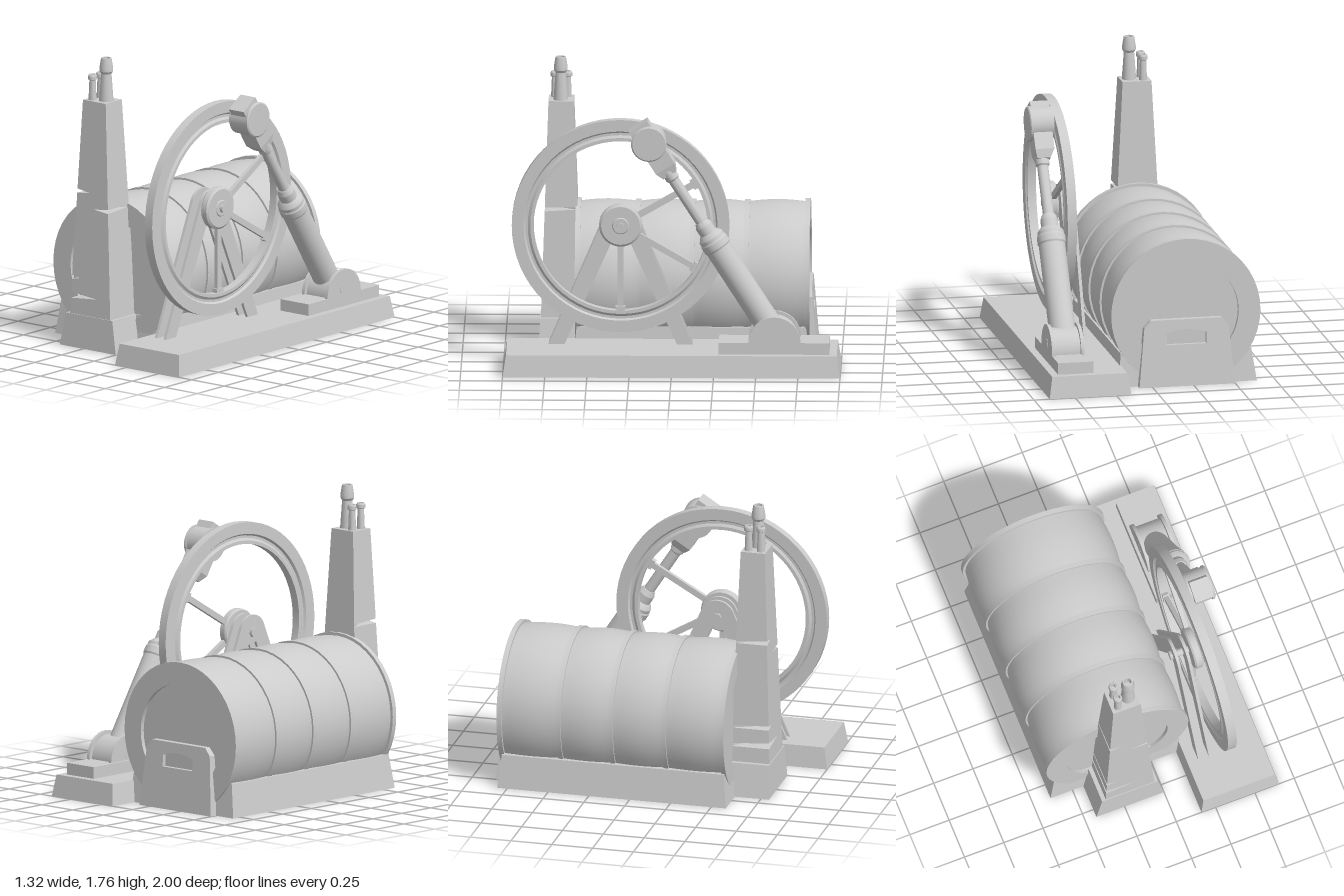
import * as THREE from 'three';
import { toCreasedNormals } from 'three/addons/utils/BufferGeometryUtils.js';

const material = new THREE.MeshStandardMaterial({ color: 0xcccccc });

function add(parent, name, geometry, x = 0, y = 0, z = 0) {
  const mesh = new THREE.Mesh(geometry, material);
  mesh.name = name;
  mesh.position.set(x, y, z);
  parent.add(mesh);
  return mesh;
}

// Solid of revolution from [radius, height] pairs
function lathe(points, sides = 32) {
  const g = new THREE.LatheGeometry(points.map(p => new THREE.Vector2(...p)), sides);
  return toCreasedNormals(g, 0.4);
}

// Cylinder lying along x
const drum = (r, length, sides = 32) =>
  new THREE.CylinderGeometry(r, r, length, sides).rotateZ(-Math.PI / 2);

// Moves every vertex by a rule and recomputes flat normals
function reshape(geometry, rule) {
  const g = geometry.index ? geometry.toNonIndexed() : geometry;
  const p = g.attributes.position, v = new THREE.Vector3();
  for (let i = 0; i < p.count; i++) {
    rule(v.fromBufferAttribute(p, i));
    p.setXYZ(i, v.x, v.y, v.z);
  }
  g.computeVertexNormals();
  return g;
}

// Block with different bottom and top rectangles [x0, x1, z0, z1]
function taperedBlock(bottom, top, y0, y1) {
  return reshape(new THREE.BoxGeometry(1, 1, 1), v => {
    const r = v.y > 0 ? top : bottom;
    v.set(v.x < 0 ? r[0] : r[1], v.y > 0 ? y1 : y0, v.z < 0 ? r[2] : r[3]);
  });
}

const shapeOf = points => new THREE.Shape(points.map(p => new THREE.Vector2(...p)));
const extrude = (shape, depth) =>
  new THREE.ExtrudeGeometry(shape, { depth, bevelEnabled: false, curveSegments: 16 });

function buildBase(model) {
  add(model, 'machinePlate', taperedBlock([0.16, 0.655, -1, 1], [0.18, 0.635, -0.98, 0.98], 0, 0.13));
  add(model, 'boilerCradle', taperedBlock([-0.64, 0.2, -0.81, 0.59], [-0.61, 0.18, -0.79, 0.57], 0, 0.2));
  add(model, 'chimneyFoot', taperedBlock([-0.43, 0, 0.5, 0.8], [-0.39, -0.035, 0.5, 0.79], 0, 0.2));
  add(model, 'pistonFootBlock', taperedBlock([0.375, 0.59, -0.935, -0.28], [0.375, 0.59, -0.935, -0.28], 0.1, 0.2));
}

function buildBoiler(model) {
  const bands = [-0.795, -0.435, -0.115, 0.21, 0.565], w = 0.015;
  const profile = [[0, -0.785], [0.32, -0.785], [0.32, -0.81]];
  bands.forEach((z, i) => {
    const end = i === 0 || i === bands.length - 1;
    const r = end ? 0.452 : 0.446;
    profile.push([r, z - w], [r, z + w]);
    // Swelling shell between two bands
    if (i < bands.length - 1) {
      const a = z + w, b = bands[i + 1] - w;
      for (let k = 0; k <= 8; k++)
        profile.push([0.434 + 0.012 * Math.sin(Math.PI * k / 8), a + (b - a) * k / 8]);
    }
  });
  profile.push([0.32, 0.58], [0.32, 0.56], [0, 0.56]);
  const g = lathe(profile, 44).rotateX(Math.PI / 2);
  // Flatten the underside hidden in the cradle
  const p = g.attributes.position;
  for (let i = 0; i < p.count; i++) p.setY(i, Math.max(p.getY(i), -0.41));
  add(model, 'boiler', g, -0.21, 0.435, 0);

  // Firebox door with an arched slot
  const door = shapeOf([[-0.5, 0], [0.08, 0], [0.045, 0.355], [0.005, 0.4], [-0.425, 0.4], [-0.465, 0.355]]);
  const slot = new THREE.Path();
  slot.moveTo(-0.33, 0.25);
  slot.lineTo(-0.33, 0.32);
  slot.quadraticCurveTo(-0.21, 0.36, -0.09, 0.32);
  slot.lineTo(-0.09, 0.25);
  slot.closePath();
  door.holes.push(slot);
  add(model, 'fireboxDoor', reshape(extrude(door, 1), v => {
    v.z = v.z > 0.5 ? -0.77 : -0.855 + v.y * 0.08;
  }));
  add(model, 'doorSlotBack', new THREE.BoxGeometry(0.28, 0.14, 0.03), -0.21, 0.3, -0.795);
}

function buildChimney(model) {
  const mix = (a, b) => y => a + (b - a) * (y - 0.2) / 1.3;
  const left = mix(-0.365, -0.3), right = mix(-0.055, -0.125);
  const front = mix(0.785, 0.742), back = mix(0.545, 0.592);
  const notch = (edge, y, h, d) => [[edge(y - h), y - h], [edge(y) + d, y], [edge(y + h), y + h]];
  const outline = [
    [left(0.2), 0.2], [right(0.2), 0.2],
    ...notch(right, 0.85, 0.012, -0.11),
    [right(1.5), 1.5], [left(1.5), 1.5],
    ...notch(left, 0.945, 0.013, 0.09).reverse(),
    ...notch(left, 0.42, 0.013, 0.06).reverse(),
    ...notch(left, 0.31, 0.018, 0.2).reverse(),
  ];
  // Cracks are deep on the front and run out towards the back
  add(model, 'chimney', reshape(extrude(shapeOf(outline), 1), v => {
    const isFront = v.z > 0.5;
    if (!isFront) v.x = v.x < -0.21 || (v.y < 0.5 && v.x < -0.1) ? left(v.y) : right(v.y);
    if (!isFront && Math.abs(v.y - 0.85) < 0.02) v.x = right(v.y);
    v.z = isFront ? front(v.y) : back(v.y);
  }));
  const pipe = [[0.043, 0], [0.031, 0.165], [0.041, 0.18], [0.041, 0.2], [0.031, 0.26], [0.022, 0.26], [0.02, 0.2], [0, 0.2]];
  const smallPipe = [[0.024, 0], [0.019, 0.12], [0.027, 0.125], [0.027, 0.145], [0.022, 0.155], [0.015, 0.155], [0.014, 0.12], [0, 0.12]];
  add(model, 'tallPipe', lathe(pipe, 20), -0.18, 1.5, 0.67);
  for (const z of [0.63, 0.705]) add(model, 'shortPipe', lathe(smallPipe, 16), -0.257, 1.5, z);
}

function buildFlywheel(model) {
  const wheel = new THREE.Group();
  wheel.name = 'flywheel';
  wheel.position.set(0.377, 0.865, 0.305);
  model.add(wheel);
  const rim = [[0.645, -0.028], [0.645, 0.028], [0.575, 0.028], [0.565, 0.015], [0.55, 0.015], [0.535, 0.026], [0.515, 0.026],
    [0.515, -0.026], [0.535, -0.026], [0.55, -0.015], [0.565, -0.015], [0.575, -0.028], [0.645, -0.028]];
  add(wheel, 'rim', lathe(rim, 64).rotateZ(-Math.PI / 2));
  const hub = [[0, -0.03], [0.12, -0.03], [0.128, -0.02], [0.128, 0.015], [0.115, 0.025], [0.05, 0.025], [0.045, 0.03], [0, 0.03]];
  add(wheel, 'hub', lathe(hub, 32).rotateZ(-Math.PI / 2));
  add(wheel, 'hubNut', drum(0.024, 0.03, 6), 0.035);
  // Surviving spokes, each with an end pad
  for (const angle of [-Math.PI / 3, -2 * Math.PI / 3, Math.PI]) {
    const spoke = new THREE.Group();
    spoke.name = 'spoke';
    spoke.rotation.x = angle;
    add(spoke, 'spokeBar', new THREE.BoxGeometry(0.026, 0.45, 0.036), 0, 0.3, 0);
    add(spoke, 'spokePad', new THREE.BoxGeometry(0.036, 0.03, 0.06), 0, 0.505, 0);
    wheel.add(spoke);
  }

  // Pair of A-shaped stands; the profile runs along -z and y
  const stand = new THREE.Shape();
  stand.moveTo(-0.43, -0.74);
  stand.lineTo(-0.335, -0.74);
  stand.lineTo(-0.03, -0.06);
  stand.lineTo(0.03, -0.06);
  stand.lineTo(0.335, -0.74);
  stand.lineTo(0.43, -0.74);
  stand.lineTo(0.097, 0.04);
  stand.absarc(0, 0, 0.105, 0.39, Math.PI - 0.39, false);
  stand.closePath();
  for (const x of [0.245, 0.312])
    add(model, 'wheelStand', extrude(stand, 0.018).rotateY(Math.PI / 2), x, 0.865, 0.305);
  add(model, 'axle', drum(0.022, 0.17, 16), 0.32, 0.865, 0.305);
  add(model, 'axleNut', drum(0.03, 0.02, 6), 0.238, 0.865, 0.305);
}

function buildPiston(model) {
  // Pivot foot: barrel between two cheeks
  add(model, 'footBarrel', drum(0.135, 0.16), 0.487, 0.2, -0.61);
  for (const x of [0.403, 0.58]) add(model, 'footCheek', drum(0.155, 0.02), x, 0.2, -0.61);
  add(model, 'footPin', drum(0.035, 0.2, 16), 0.492, 0.235, -0.61);

  const arm = new THREE.Group();
  arm.name = 'pistonArm';
  arm.position.set(0.487, 0.215, -0.62);
  arm.rotation.x = Math.atan2(0.755, 1.18);
  model.add(arm);
  add(arm, 'cylinder', lathe([[0, 0.05], [0.079, 0.05], [0.079, 0.64], [0.085, 0.65], [0.085, 0.69], [0.079, 0.7],
    [0.079, 0.72], [0.06, 0.745], [0.052, 0.75], [0.052, 0.8], [0.038, 0.83], [0, 0.83]]));
  add(arm, 'rod', lathe([[0.033, 0.8], [0.033, 1.13], [0.042, 1.14], [0.042, 1.2]], 24));
  // Crank head joining the rod to the wheel rim
  add(arm, 'headNeck', taperedBlock([-0.045, 0.035, -0.045, 0.045], [-0.07, 0.045, -0.065, 0.065], 1.17, 1.22));
  add(arm, 'headBlock', taperedBlock([-0.07, 0.045, -0.065, 0.065], [-0.07, 0.045, -0.065, 0.065], 1.22, 1.52));
  const head = [[0, -0.083], [0.1, -0.083], [0.1, 0.045], [0.106, 0.045], [0.106, 0.058], [0.098, 0.064], [0, 0.064]];
  add(arm, 'headDrum', lathe(head).rotateZ(-Math.PI / 2), 0, 1.4, 0);
}

export function createModel() {
  const model = new THREE.Group();
  model.name = 'steamEngine';
  buildBase(model);
  buildBoiler(model);
  buildChimney(model);
  buildFlywheel(model);
  buildPiston(model);
  return model;
}
